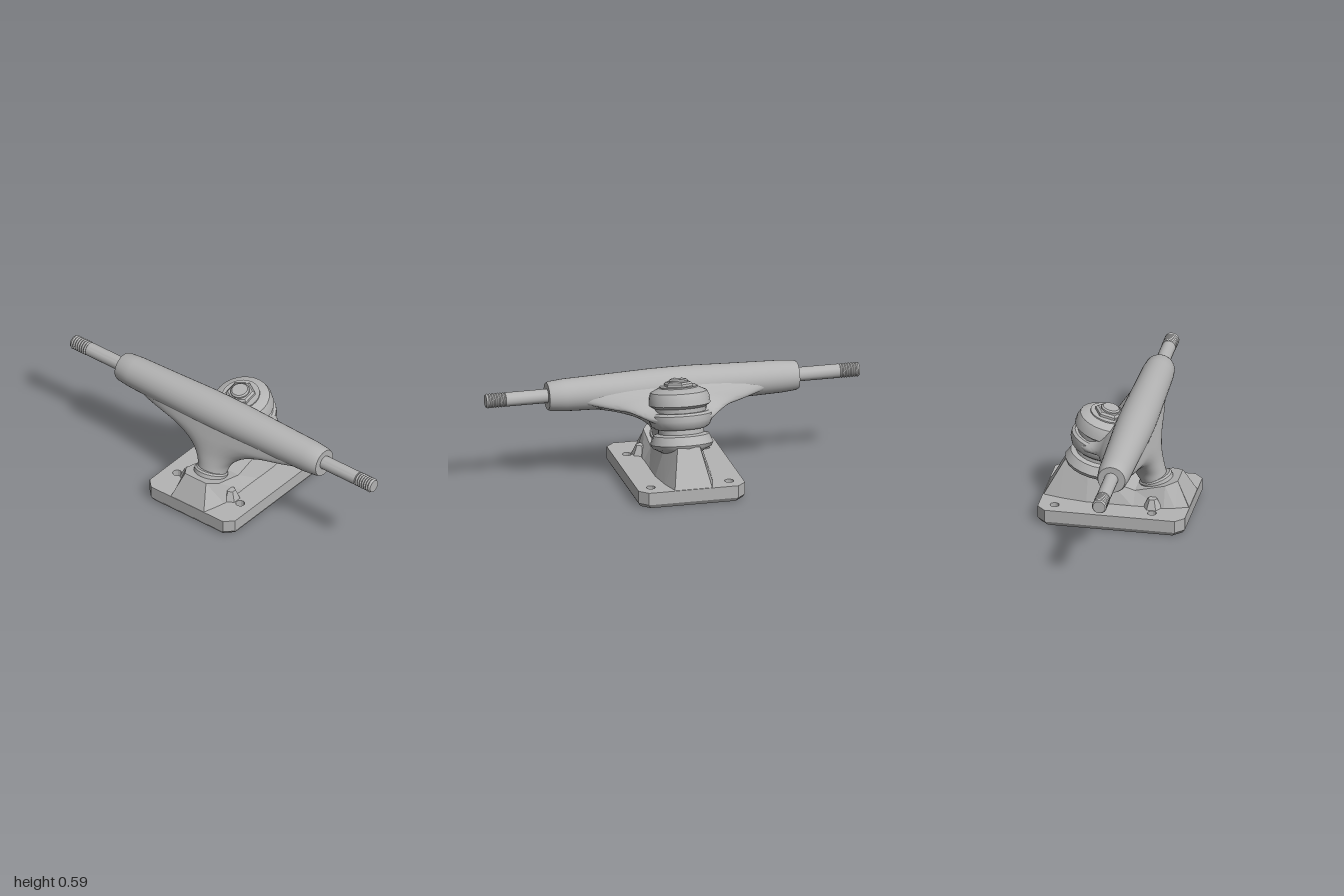
import * as THREE from 'three';
import { mergeVertices, toCreasedNormals } from 'three/addons/utils/BufferGeometryUtils.js';

const metal = new THREE.MeshStandardMaterial({ color: 0xb4b4b4 });
metal.name = 'grey metal';

function part(parent, name, geometry, crease = 0.6) {
  const mesh = new THREE.Mesh(toCreasedNormals(geometry, crease), metal);
  mesh.name = name;
  parent.add(mesh);
  return mesh;
}

// Skin through equal-length rings of points, closed at both ends
function loft(rings) {
  const n = rings[0].length, index = [];
  const all = rings.flat();
  const capStart = all.length;
  for (const ring of [rings[0], rings[rings.length - 1]]) {
    const c = [0, 1, 2].map(k => ring.reduce((s, p) => s + p[k], 0) / n);
    all.push(c);
  }
  const last = (rings.length - 1) * n;
  for (let j = 0; j < n; j++) {
    const k = (j + 1) % n;
    for (let i = 0; i < rings.length - 1; i++) {
      const a = i * n + j, b = i * n + k;
      index.push(a, a + n, b, b, a + n, b + n);
    }
    index.push(capStart, j, k, capStart + 1, last + k, last + j);
  }
  const g = new THREE.BufferGeometry();
  g.setAttribute('position', new THREE.Float32BufferAttribute(all.flat(), 3));
  g.setIndex(index);
  return g;
}

// Unit circle as [cos, sin] pairs
const circle = Array.from({ length: 40 }, (_, i) => {
  const a = i / 40 * Math.PI * 2;
  return [Math.cos(a), Math.sin(a)];
});

// Smooth the section table with a spline per column
function smooth(rows, steps) {
  const cols = rows[0].map((_, k) => new THREE.SplineCurve(rows.map((r, i) => new THREE.Vector2(i, r[k]))));
  return Array.from({ length: steps + 1 }, (_, i) => cols.map(c => c.getPoint(i / steps).y));
}

const lathe = (pts, sides) => new THREE.LatheGeometry(pts.map(p => new THREE.Vector2(...p)), sides);

// Rectangle with cut corners, optionally drilled, lying flat from y0 upwards
function plate(w, d, cut, y0, h, holes = []) {
  const s = new THREE.Shape([
    [w, -d + cut], [w, d - cut], [w - cut, d], [-w + cut, d],
    [-w, d - cut], [-w, -d + cut], [-w + cut, -d], [w - cut, -d],
  ].map(p => new THREE.Vector2(...p)));
  for (const [x, z] of holes) s.holes.push(new THREE.Path().absarc(x, -z, 0.024, 0, Math.PI * 2, true));
  return new THREE.ExtrudeGeometry(s, { depth: h, bevelEnabled: false, curveSegments: 6 })
    .rotateX(-Math.PI / 2).translate(0, y0, 0);
}

export function createModel() {
  const model = new THREE.Group();
  model.name = 'skateboardTruck';

  // Base plate: tapered foot and drilled upper slab
  const base = new THREE.Group();
  base.name = 'basePlate';
  model.add(base);
  const corner = (w, d, c, y) => [
    [w, y, -d + c], [w, y, d - c], [w - c, y, d], [-w + c, y, d],
    [-w, y, d - c], [-w, y, -d + c], [-w + c, y, -d], [w - c, y, -d]];
  part(base, 'foot', loft([corner(0.272, 0.375, 0.045, 0), corner(0.285, 0.39, 0.045, 0.022)]), 0.1);
  const holes = [[0.21, 0.21], [-0.21, 0.21], [0.21, -0.305], [-0.21, -0.305]];
  part(base, 'slab', plate(0.285, 0.39, 0.045, 0.022, 0.066, holes), 0.1);

  // Pedestal: sections along z as [z, half width at base, half width at top, top height]
  const pedestal = [
    [0.388, 0.11, 0.11, 0.088], [0.32, 0.135, 0.07, 0.215], [0.26, 0.15, 0.11, 0.2],
    [0.1, 0.15, 0.11, 0.16], [-0.03, 0.15, 0.11, 0.2], [-0.15, 0.15, 0.1, 0.235],
    [-0.28, 0.13, 0.06, 0.28], [-0.385, 0.1, 0.1, 0.088],
  ].map(([z, b, t, y]) => [[b, 0.08, z], [t, y, z], [-t, y, z], [-b, 0.08, z]]);
  part(base, 'pedestal', loft(pedestal), 0.1);
  for (const s of [1, -1]) {
    const rib = part(base, 'pedestalRib', new THREE.CylinderGeometry(0.025, 0.05, 0.055, 6), 0.1);
    rib.position.set(s * 0.14, 0.112, 0.2);
  }

  // Pivot cup where the hanger nose sits
  const cup = part(base, 'pivotCup', lathe([[0, -0.03], [0.09, -0.03], [0.09, 0.006], [0.08, 0.014], [0, 0.014]], 20));
  cup.position.set(0, 0.19, 0.19);
  cup.rotation.x = -0.34;

  // Hanger: tapered cross tube
  const hanger = new THREE.Group();
  hanger.name = 'hanger';
  model.add(hanger);
  const tube = part(hanger, 'crossTube', lathe([
    [0, -0.67], [0.072, -0.67], [0.078, -0.655], [0.085, -0.58], [0.093, -0.3], [0.099, -0.12], [0.1, 0],
    [0.099, 0.12], [0.093, 0.3], [0.085, 0.58], [0.078, 0.655], [0.072, 0.67], [0, 0.67]], 32).rotateZ(Math.PI / 2));
  tube.position.set(0, 0.494, 0.085);

  // Front web narrowing down to the pivot: [y, half width, back z, front z]
  const nose = smooth([
    [0.16, 0.075, 0.12, 0.25], [0.2, 0.082, 0.1, 0.25], [0.25, 0.1, 0.07, 0.237], [0.3, 0.15, 0.045, 0.222],
    [0.34, 0.22, 0.03, 0.212], [0.38, 0.34, 0.025, 0.202], [0.42, 0.52, 0.03, 0.19], [0.47, 0.6, 0.04, 0.175],
  ], 28).map(([y, w, b, f]) => circle.map(([c, s]) => [c * w, y, (b + f) / 2 + s * (f - b) / 2]));
  part(hanger, 'pivotWeb', mergeVertices(loft(nose)), 0.9);

  // Rear web reaching back to the ring: [z, half width, bottom y, top y]
  const rear = smooth([
    [0.06, 0.62, 0.42, 0.56], [0.01, 0.5, 0.412, 0.54], [-0.03, 0.38, 0.4, 0.505], [-0.06, 0.28, 0.39, 0.475],
    [-0.1, 0.215, 0.37, 0.45], [-0.15, 0.17, 0.36, 0.44], [-0.2, 0.12, 0.36, 0.44],
  ], 24).map(([z, w, b, t]) => circle.map(([c, s]) => [c * w, (b + t) / 2 + s * (t - b) / 2, z]));
  part(hanger, 'ringWeb', mergeVertices(loft(rear)), 0.9);

  // Axle ends with ridged threads
  for (const s of [1, -1]) {
    const profile = [[0, 0.6], [0.037, 0.6], [0.037, 0.895]];
    for (let i = 0; i < 7; i++) {
      const y = 0.898 + i * 0.014;
      profile.push([0.034, y], [0.039, y + 0.007]);
    }
    profile.push([0.033, 1], [0, 1]);
    const axle = part(model, s > 0 ? 'leftAxle' : 'rightAxle', lathe(profile, 20));
    axle.position.set(0, 0.497, 0.083);
    axle.rotation.z = -s * Math.PI / 2;
  }

  // Kingpin stack, tilted towards the front
  const stack = new THREE.Group();
  stack.name = 'kingpinStack';
  stack.position.set(0, 0.2, -0.14);
  stack.rotation.x = 0.24;
  model.add(stack);
  part(stack, 'lowerBushing', lathe([[0, -0.005], [0.09, 0], [0.155, 0.035], [0.166, 0.055], [0.147, 0.1], [0.12, 0.108], [0.12, 0.14], [0, 0.14]], 20));
  part(stack, 'hangerRing', lathe([[0, 0.135], [0.135, 0.135], [0.153, 0.148], [0.166, 0.18], [0.166, 0.21], [0.152, 0.222], [0, 0.222]], 28));
  part(stack, 'upperBushing', lathe([[0, 0.21], [0.135, 0.21], [0.14, 0.245], [0.162, 0.26], [0.158, 0.3], [0.148, 0.325], [0.105, 0.346], [0, 0.346]], 24));
  part(stack, 'washer', lathe([[0, 0.34], [0.1, 0.34], [0.1, 0.353], [0, 0.353]], 24));
  part(stack, 'nut', lathe([[0, 0.35], [0.078, 0.35], [0.078, 0.366], [0.066, 0.375], [0, 0.375]], 6), 0.1);
  part(stack, 'kingpin', lathe([[0, 0.37], [0.05, 0.37], [0.05, 0.383], [0.042, 0.39], [0, 0.39]], 16));

  return model;
}
